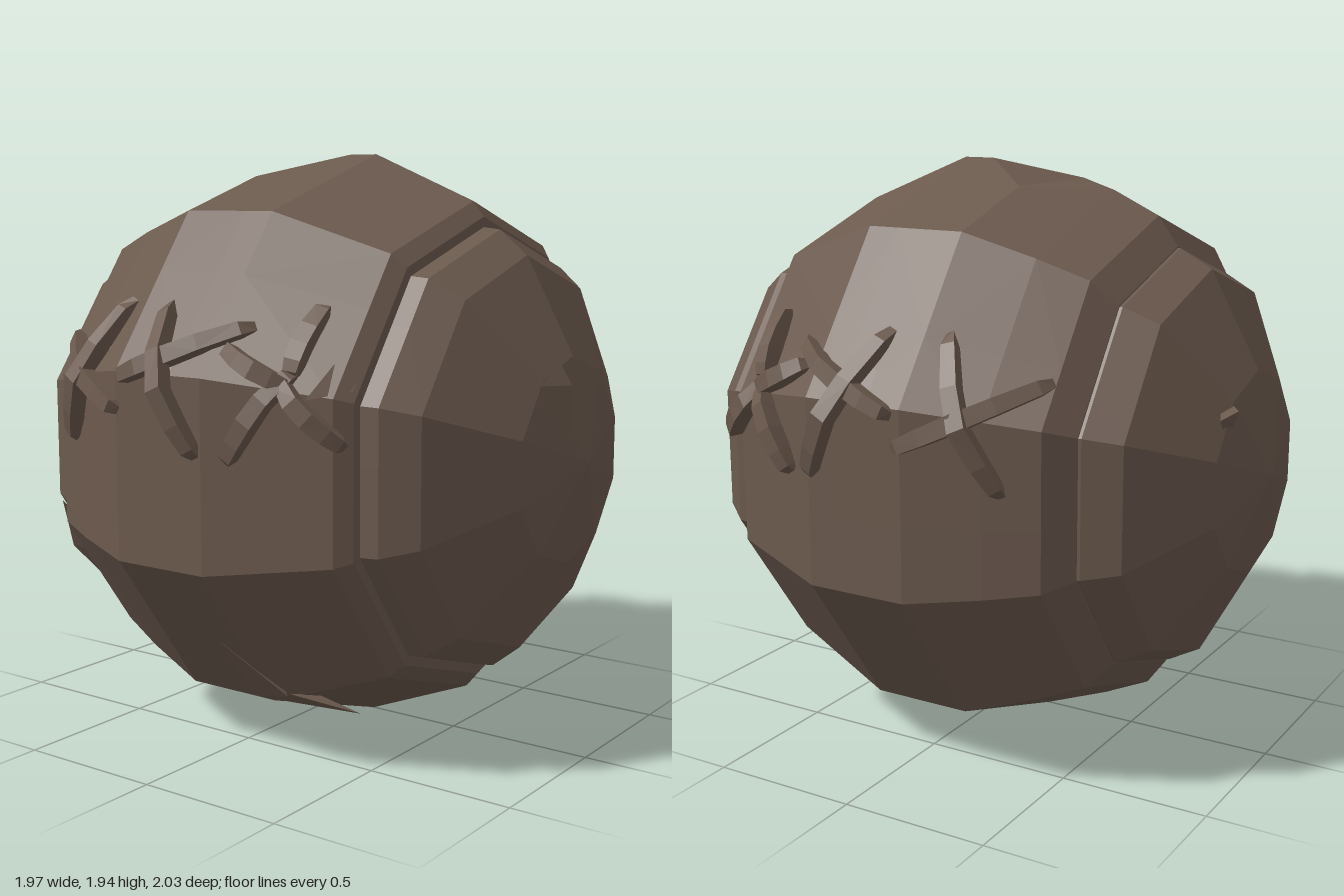
import * as THREE from 'three';
import { ConvexGeometry } from 'three/addons/geometries/ConvexGeometry.js';

const CY = 0.97; // height of the ball's axis, which runs along x
const V = (x, y, z) => new THREE.Vector3(x, y, z);

// Skin a list of closed cross-sections with flat facets
function loft(rows) {
  const pos = [];
  const tri = (...p) => p.forEach((v) => pos.push(v.x, v.y, v.z));
  for (let i = 0; i < rows.length - 1; i++) {
    const n = rows[i].length;
    for (let j = 0; j < n; j++) {
      const k = (j + 1) % n;
      const a = rows[i][j], b = rows[i + 1][j], c = rows[i + 1][k], d = rows[i][k];
      if ((i + j) % 2) { tri(a, d, b); tri(d, c, b); } else { tri(a, d, c); tri(a, c, b); }
    }
  }
  const g = new THREE.BufferGeometry();
  g.setAttribute('position', new THREE.Float32BufferAttribute(pos, 3));
  g.computeVertexNormals();
  return g;
}

// Ten-sided ring about x; every edge also gets a point partway along it
function ring(x, r) {
  const corner = (k) => V(x, CY + r * Math.cos(k * Math.PI / 5), r * Math.sin(k * Math.PI / 5));
  const out = [];
  for (let k = 0; k < 10; k++) {
    out.push(corner(k), corner(k).lerp(corner(k + 1), k === 9 ? 0.61 : 0.39));
  }
  return out;
}

// Depth of the front surface of the middle band at x, y
function frontZ(x, y) {
  const r = 0.97 - Math.max(0, Math.abs(x) - 0.17) * 0.41;
  const face = (deg) => {
    const a = deg * Math.PI / 180;
    return (r * Math.cos(Math.PI / 10) - (y - CY) * Math.cos(a)) / Math.sin(a);
  };
  return Math.min(face(54), face(90), face(126));
}

// Square bar bent over the surface, with pointed wedge ends
function stitchBar(ends, lift, side) {
  const [x0, y0, x1, y1] = ends;
  const pts = [0, 0.08, 0.32, 0.55, 0.78, 0.94, 1].map((t) => {
    const x = x0 + (x1 - x0) * t, y = y0 + (y1 - y0) * t;
    const bump = 0.012 + lift * Math.sin(Math.PI * t);
    return V(x, y, side * (frontZ(x, y) + bump));
  });
  const sizes = [0, 0.022, 0.026, 0.028, 0.026, 0.022, 0];
  const rows = pts.map((p, i) => {
    const T = pts[Math.min(i + 1, 6)].clone().sub(pts[Math.max(i - 1, 0)]).normalize();
    const N = V(p.x * 0.5, (p.y - CY) * 0.6, p.z);
    N.addScaledVector(T, -N.dot(T)).normalize();
    const S = T.clone().cross(N), h = sizes[i];
    return [[-1, 1], [1, 1], [1, -1], [-1, -1]].map(([s, n]) =>
      p.clone().addScaledVector(S, s * h).addScaledVector(N, n * (i % 6 ? h : 0)));
  });
  // keep the ends as short chisel edges
  for (const e of [0, 6]) {
    const T = pts[e].clone().sub(pts[e ? 5 : 1]).normalize();
    const S = T.clone().cross(V(0, 0, side)).normalize().multiplyScalar(e ? 0.014 : -0.014);
    rows[e].forEach((v, j) => v.addScaledVector(S, j === 1 || j === 2 ? 1 : -1));
  }
  return loft(rows);
}

export function createModel() {
  const model = new THREE.Group();
  model.name = 'stitchedBall';
  const brown = new THREE.MeshStandardMaterial({ color: 0x6c5a4e });
  brown.name = 'brown leather';
  const add = (geometry, name, parent = model) => {
    const m = new THREE.Mesh(geometry, brown);
    m.name = name;
    parent.add(m);
    return m;
  };

  // Middle band, with a flattened dent on top and a step at each end
  const bandRings = [
    [-0.63, 0.64], [-0.63, 0.71], [-0.56, 0.805], [-0.4, 0.88], [-0.17, 0.97],
    [0.06, 0.97], [0.17, 0.97], [0.55, 0.815], [0.59, 0.765], [0.59, 0.64],
  ].map(([x, r]) => ring(x, r));
  bandRings[4][0].y = 1.868;
  // diagonals around the dented corner must skirt it
  bandRings.unshift(ring(-0.63, 0.6));
  add(loft(bandRings), 'middleBand');

  // Domed side caps
  const cap = [[0.56, 0.735], [0.65, 0.725], [0.75, 0.645], [0.92, 0.335], [0.985, 0]];
  add(loft(cap.map(([x, r]) => ring(x, r))), 'leftCap');
  const rightCap = [[0.56, 0.71], [0.64, 0.705], [0.75, 0.645], [0.92, 0.335], [0.985, 0]];
  add(loft(rightCap.reverse().map(([x, r]) => ring(-x, r))), 'rightCap');

  // Three crossed stitches on the front and on the back: x0, y0, x1, y1, lift
  const bars = [
    [-0.56, 1.35, -0.15, 1.15, 0.02], [-0.24, 1.48, -0.46, 1.02, 0.04],
    [-0.06, 1.48, 0.16, 1.03, 0.05], [0.27, 1.42, -0.15, 1.25, 0.025],
    [0.44, 1.48, 0.42, 1.28, 0.03], [0.43, 1.3, 0.25, 1.02, 0.03],
    [0.21, 1.36, 0.43, 1.25, 0.035], [0.4, 1.27, 0.59, 1.08, 0.035],
  ];
  for (const side of [1, -1]) {
    const group = new THREE.Group();
    group.name = side > 0 ? 'frontStitches' : 'backStitches';
    model.add(group);
    bars.forEach((b) => add(stitchBar(b.slice(0, 4), b[4], side), 'stitchBar', group));
    // Raised seam running behind the stitches
    const seam = [[-0.3, 1.33], [0, 1.37], [0.3, 1.33], [0, 1.27]].map(([x, y]) =>
      V(x, y, side * (frontZ(x, y) + 0.01)));
    seam.push(V(0, 1.31, side * 0.85));
    add(new ConvexGeometry(seam), 'seam', group);
  }

  // Torn slivers of leather
  const slivers = {
    leftCapTear: [[0.8, 1.5, 0.1], [0.92, 1.23, 0.22], [0.965, 1.01, 0.1], [0.955, 1.22, 0.07]],
    rightCapTear: [[-0.92, 1.2, -0.3], [-0.84, 1.25, -0.12], [-0.95, 1.22, -0.23], [-0.9, 1.1, -0.2]],
    frontTear: [[0.59, 1.58, 0.43], [0.49, 1.22, 0.83], [0.58, 1.24, 0.72], [0.53, 1.35, 0.62]],
    lowerTear: [[0.08, 0.41, 0.74], [0.1, 0.19, 0.58], [0.26, 0.23, 0.62], [0.15, 0.22, 0.5]],
    lowerTearTip: [[0.12, 0.19, 0.58], [0.27, 0.24, 0.62], [0.46, 0.18, 0.5], [0.25, 0.19, 0.45]],
    sideTear: [[-0.69, 0.76, 0.66], [-0.62, 0.3, 0.35], [-0.6, 0.62, 0.7], [-0.6, 0.55, 0.5]],
  };
  for (const [name, pts] of Object.entries(slivers)) {
    add(new ConvexGeometry(pts.map((p) => V(...p))), name);
  }
  return model;
}
